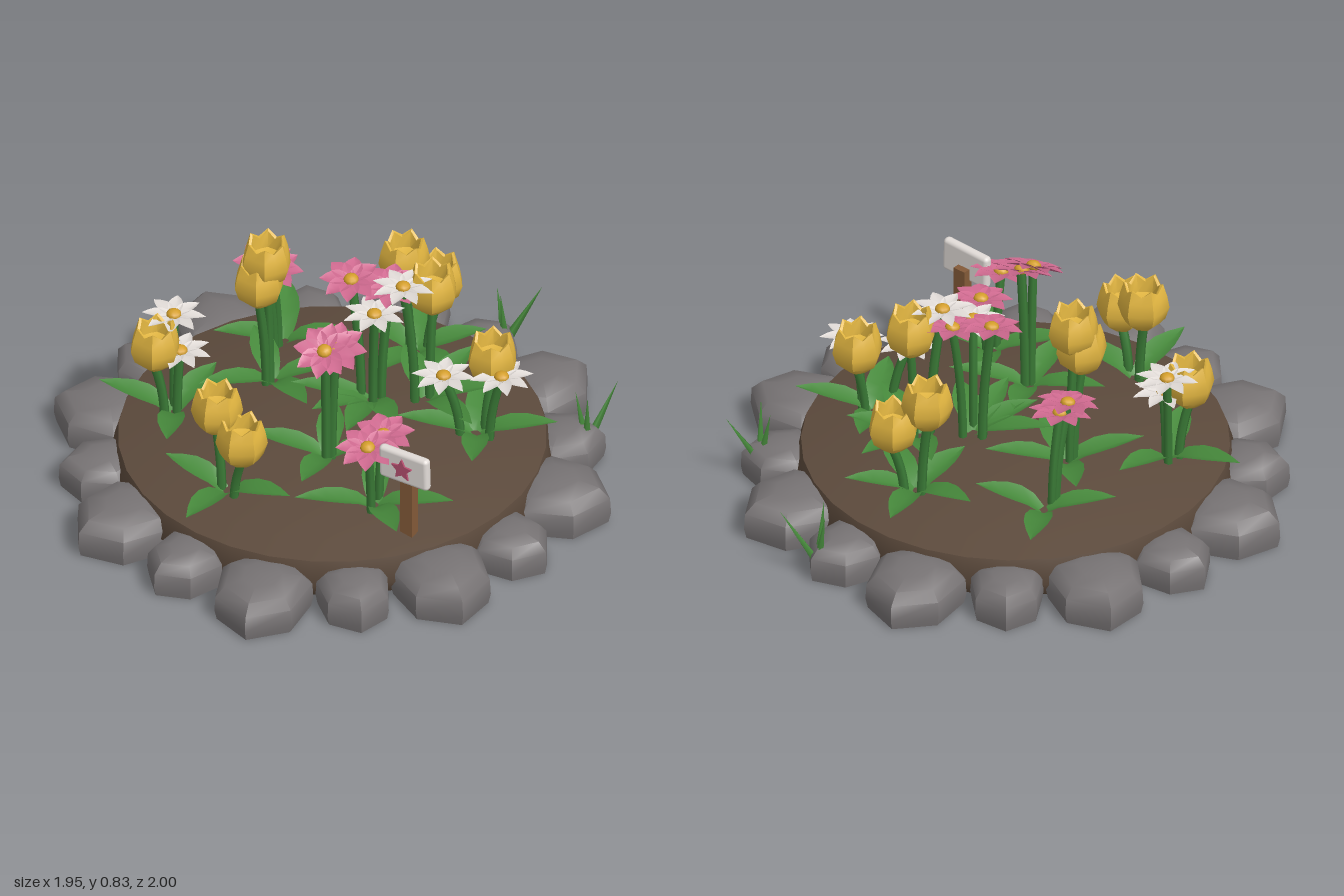
import * as THREE from 'three';
import { mergeGeometries, toCreasedNormals } from 'three/addons/utils/BufferGeometryUtils.js';
import { RoundedBoxGeometry } from 'three/addons/geometries/RoundedBoxGeometry.js';

const mat = (name, color, side = THREE.FrontSide) => {
  const m = new THREE.MeshStandardMaterial({ color, side });
  m.name = name;
  return m;
};
const M = {
  soil: mat('soil brown', 0x5c4a3c),
  stone: mat('stone grey', 0x777374),
  stem: mat('stem green', 0x3a7a36),
  leaf: mat('leaf green', 0x478a3c, THREE.DoubleSide),
  tulip: mat('tulip yellow', 0xe0b440, THREE.DoubleSide),
  gold: mat('flower centre gold', 0xd6a02c),
  white: mat('petal white', 0xe2dcd8, THREE.DoubleSide),
  pink: mat('petal pink', 0xd06a90, THREE.DoubleSide),
  wood: mat('post wood', 0x835a38),
  star: mat('star rose', 0xb5506f),
};

function mesh(parent, name, geo, material, x = 0, y = 0, z = 0) {
  const m = new THREE.Mesh(geo, material);
  m.name = name;
  m.position.set(x, y, z);
  parent.add(m);
  return m;
}

// Surface through equal-length rows of [x, y, z] points
function loft(rows, closed) {
  const n = rows[0].length, index = [];
  for (let i = 0; i < rows.length - 1; i++) {
    for (let j = 0; j < (closed ? n : n - 1); j++) {
      const k = (j + 1) % n, a = i * n + j, b = i * n + k;
      index.push(a, a + n, b, b, a + n, b + n);
    }
  }
  const g = new THREE.BufferGeometry();
  g.setAttribute('position', new THREE.Float32BufferAttribute(rows.flat(2), 3));
  g.setIndex(index);
  g.computeVertexNormals();
  return g;
}

// Pointed blade along +x, folded along its middle and rising to the tip
function blade(length, halfWidth, rise) {
  const rows = Array.from({ length: 6 }, (_, i) => {
    const u = i / 5, w = 0.001 + halfWidth * Math.sin(Math.PI * (0.12 + 0.88 * u));
    const x = length * u, y = rise * Math.sqrt(u);
    return [[x, y + w * 0.4, w], [x, y, 0], [x, y + w * 0.4, -w]];
  });
  return loft(rows, false);
}

const soilY = (x, z) => 0.24 - 0.16 * (x * x + z * z);

// Stone: pointed mirrored outline, flat below and rounded above
function stoneGeometry() {
  const half = [[0.1, 0.135], [-0.07, 0.16], [-0.15, 0.08]];
  const outline = [[0.19, 0], ...half, ...half.map(([x, z]) => [x, -z]).reverse()];
  const rings = [[0, 0], [0, 0.95], [0.04, 1], [0.1, 0.98], [0.138, 0.78], [0.155, 0.4], [0.16, 0]];
  return toCreasedNormals(loft(rings.map(([y, s]) => outline.map(([x, z]) => [x * s, y, z * s])), true), 0.75);
}

// Tulip cup: six-sided bulb with a jagged rim and a hollow inside
function tulipGeometry() {
  const rings = [[0, 0], [0.004, 0.035], [0.04, 0.074], [0.085, 0.088], [0.13, 0.08], [0.165, 0.066],
    [0.16, 0.056], [0.11, 0.05], [0.095, 0]];
  const rows = rings.map(([y, r], i) => Array.from({ length: 12 }, (_, j) => {
    const a = j * Math.PI / 6, peak = j % 2 === 0;
    const s = peak ? r : r * 0.91, rim = i === 5 || i === 6 ? (peak ? 0.012 : -0.012) : 0;
    return [Math.cos(a) * s, y + rim, Math.sin(a) * s];
  }));
  return toCreasedNormals(loft(rows, true), 0.8);
}

// Eight pointed petals around a centre
const petalsGeometry = halfWidth => mergeGeometries(Array.from({ length: 8 }, (_, i) =>
  blade(0.108, halfWidth, 0.01).rotateY(i * Math.PI / 4)));

const G = {
  tulip: tulipGeometry(), white: petalsGeometry(0.025), pink: petalsGeometry(0.034),
  centre: new THREE.SphereGeometry(0.026, 10, 6).scale(1, 0.7, 1), stone: stoneGeometry(),
};

// Leaf clumps: x, z, leaf count, first angle and step in degrees
const clumps = [
  [-0.23, 0.46, 3, 11, 92], [-0.29, -0.4, 3, 157, 98], [-0.25, -0.14, 4, 45, 96], [-0.53, 0.08, 3, 79, 105],
  [0.1, -0.12, 4, 53, 38], [0.27, -0.2, 4, 234, 55], [0.48, -0.09, 4, 77, 90], [0.05, 0.22, 4, 94, 82],
  [0.27, 0.4, 4, 55, 100], [0.15, -0.47, 5, 196, 68],
];

// Flower heads: x, y of the tulip rim or daisy centre, z, forward tilt
const tulips = [
  [-0.27, 0.6, 0.44], [-0.165, 0.53, 0.5], [-0.265, 0.83, -0.11], [-0.285, 0.75, -0.09], [-0.585, 0.57, 0.12],
  [0.28, 0.745, -0.23], [0.515, 0.565, -0.15], [0.105, 0.65, -0.48], [0.21, 0.56, -0.525],
];
const whiteDaisies = [
  [-0.55, 0.54, 0.02], [-0.51, 0.44, 0.08], [0.13, 0.635, -0.055], [0.205, 0.705, -0.14],
  [0.38, 0.45, -0.03], [0.57, 0.455, -0.075],
];
const pinkDaisies = [
  [-0.33, 0.575, -0.3, 0.2], [-0.31, 0.54, -0.32, 0.15], [0.02, 0.69, -0.15, 0.15], [0.15, 0.67, -0.18, 0.15],
  [0.05, 0.685, 0.25, 0.45], [0.08, 0.68, 0.22, 0.35], [0.28, 0.44, 0.33, 0.12], [0.265, 0.475, 0.46, 0.2],
];

function addLeaves(parent, [x, z, count, start, step]) {
  for (let i = 0; i < count; i++) {
    const leaf = mesh(parent, 'leaf', blade(0.24 + 0.03 * (i % 2), 0.046, 0.07), M.leaf, x, soilY(x, z) - 0.01, z);
    leaf.rotation.y = -THREE.MathUtils.degToRad(start + i * step);
  }
}

// Stem bending from the nearest clump up to the head
function addFlower(parent, kind, [x, top, z, tilt = 0]) {
  const flower = new THREE.Group();
  flower.name = kind === 'tulip' ? 'tulip' : kind + 'Daisy';
  const y = kind === 'tulip' ? top - 0.175 : top;
  const distance = c => Math.hypot(c[0] - x, c[1] - z);
  const root = clumps.reduce((a, b) => (distance(b) < distance(a) ? b : a));
  const bx = (x + root[0]) / 2, bz = (z + root[1]) / 2, by = soilY(bx, bz) - 0.02;
  const curve = new THREE.QuadraticBezierCurve3(new THREE.Vector3(bx, by, bz),
    new THREE.Vector3(bx, (by + y) / 2, bz), new THREE.Vector3(x, y, z));
  mesh(flower, 'stem', new THREE.TubeGeometry(curve, 5, 0.016, 6), M.stem);
  const head = new THREE.Group();
  head.name = 'head';
  head.position.set(x, y, z);
  head.rotation.set(tilt, x * 7 + z * 5, 0);
  mesh(head, 'petals', G[kind], M[kind]);
  if (kind !== 'tulip') mesh(head, 'centre', G.centre, M.gold, 0, 0.012, 0);
  flower.add(head);
  parent.add(flower);
}

// Tuft of three thin blades fanning out around a heading
function addGrass(parent, x, z, heading) {
  for (let i = 0; i < 3; i++) {
    const a = heading + i * 2.1, lean = i === 0 ? 0.6 : 0.2, length = 0.25 - 0.02 * i;
    const m = mesh(parent, 'grassBlade', new THREE.ConeGeometry(0.018, length, 4).translate(0, length / 2, 0),
      M.leaf, x, 0.05, z);
    m.quaternion.setFromUnitVectors(new THREE.Vector3(0, 1, 0),
      new THREE.Vector3(Math.cos(a) * lean, 1, Math.sin(a) * lean).normalize());
  }
}

function createSign() {
  const sign = new THREE.Group();
  sign.name = 'gardenSign';
  sign.position.set(0.41, 0, 0.485);
  sign.rotation.y = -0.28;
  mesh(sign, 'post', new THREE.BoxGeometry(0.048, 0.3, 0.036), M.wood, 0, 0.3, -0.012);
  const board = new THREE.Group();
  board.name = 'board';
  board.position.set(0, 0.46, 0.012);
  board.rotation.z = 0.03;
  mesh(board, 'panel', new RoundedBoxGeometry(0.195, 0.125, 0.034, 2, 0.015), M.white);
  const shape = new THREE.Shape(Array.from({ length: 10 }, (_, i) => {
    const a = Math.PI / 2 + i * Math.PI / 5, r = i % 2 ? 0.021 : 0.043;
    return new THREE.Vector2(Math.cos(a) * r, Math.sin(a) * r);
  }));
  mesh(board, 'star', new THREE.ExtrudeGeometry(shape, { depth: 0.008, bevelEnabled: false }), M.star, 0, 0, 0.016);
  sign.add(board);
  return sign;
}

export function createModel() {
  const model = new THREE.Group();
  model.name = 'flowerBed';

  // Soil mound
  const profile = [[0, 0.003], [0.7, 0.003], [0.745, 0.07]];
  for (let i = 8; i >= 0; i--) profile.push([i * 0.09, soilY(i * 0.09, 0)]);
  mesh(model, 'soilMound', toCreasedNormals(new THREE.LatheGeometry(
    profile.map(([r, y]) => new THREE.Vector2(r, y)), 32), 0.9), M.soil);

  // Ring of alternating large and small stones
  for (let i = 0; i < 16; i++) {
    const a = i * Math.PI / 8, small = i % 2 === 1;
    const r = small ? 0.775 : i % 8 === 4 ? 0.81 : 0.787;
    const stone = mesh(model, 'stone', G.stone, M.stone, Math.cos(a) * r, 0, Math.sin(a) * r);
    const s = small ? 0.77 : 1;
    stone.scale.set(s, small ? 0.88 : 0.93 + 0.05 * Math.abs(Math.cos(a)), s);
    stone.rotation.y = -a + (i % 4 === 0 ? 0 : 0.12 * Math.sin(i * 2.3));
  }

  // Planting
  clumps.forEach(c => addLeaves(model, c));
  tulips.forEach(f => addFlower(model, 'tulip', f));
  whiteDaisies.forEach(f => addFlower(model, 'white', f));
  pinkDaisies.forEach(f => addFlower(model, 'pink', f));

  // Grass between the stones
  addGrass(model, 0.36, -0.8, -0.5);
  addGrass(model, 0.79, -0.33, -0.9);

  model.add(createSign());
  return model;
}
